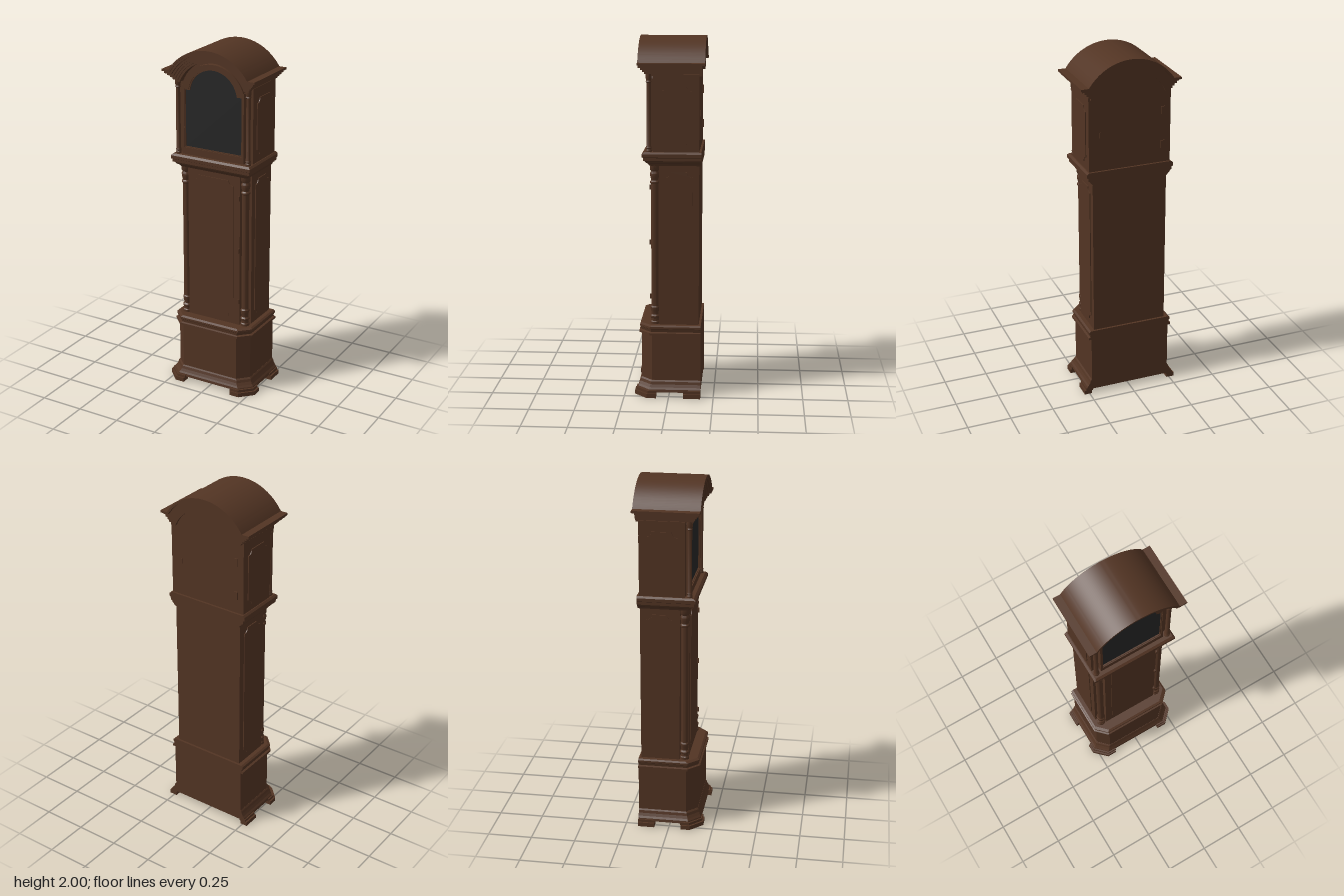
import * as THREE from 'three';
import { toCreasedNormals } from 'three/addons/utils/BufferGeometryUtils.js';

const wood = new THREE.MeshStandardMaterial({ color: 0x523423 });
wood.name = 'dark wood';
const glass = new THREE.MeshStandardMaterial({ color: 0x262626 });
glass.name = 'dark glass';

export function createModel() {
  const root = new THREE.Group();
  root.name = 'longcaseClock';

  function add(name, geometry, x = 0, y = 0, z = 0, material = wood) {
    const mesh = new THREE.Mesh(geometry, material);
    mesh.name = name;
    mesh.position.set(x, y, z);
    root.add(mesh);
    return mesh;
  }
  const box = (name, w, h, d, x, y, z) => add(name, new THREE.BoxGeometry(w, h, d), x, y, z);

  // Extrude a front-facing outline from z0 to z1
  function slab(name, shape, z0, z1, material = wood) {
    const g = new THREE.ExtrudeGeometry(shape, { depth: z1 - z0, bevelEnabled: false, curveSegments: 32 });
    return add(name, toCreasedNormals(g, 0.4), 0, 0, z0, material);
  }

  // Stack of footprints with cut front corners; rows are [y, halfWidth, front, cut]
  function loft(name, rows, back) {
    const rings = rows.map(([y, w, f, c]) => [
      [-w, y, back], [-w, y, f - c], [-w + c, y, f], [w - c, y, f], [w, y, f - c], [w, y, back],
    ]);
    const pos = [];
    const tri = (a, b, c) => pos.push(...a, ...b, ...c);
    for (let r = 0; r + 1 < rings.length; r++) {
      const lo = rings[r], hi = rings[r + 1];
      for (let i = 0; i < 6; i++) {
        const j = (i + 1) % 6;
        tri(lo[i], lo[j], hi[j]);
        tri(lo[i], hi[j], hi[i]);
      }
    }
    const bottom = rings[0], top = rings[rings.length - 1];
    for (let i = 1; i < 5; i++) {
      tri(top[0], top[i], top[i + 1]);
      tri(bottom[0], bottom[i + 1], bottom[i]);
    }
    const g = new THREE.BufferGeometry();
    g.setAttribute('position', new THREE.Float32BufferAttribute(pos, 3));
    g.computeVertexNormals();
    return add(name, g);
  }

  // Raised panel with scooped corners
  function panel(name, w, h, x, y, z, turn = 0) {
    const a = w / 2, b = h / 2, r = 0.03, s = new THREE.Shape();
    s.moveTo(-a + r, -b);
    s.lineTo(a - r, -b);
    s.absarc(a, -b, r, Math.PI, Math.PI / 2, true);
    s.lineTo(a, b - r);
    s.absarc(a, b, r, -Math.PI / 2, -Math.PI, true);
    s.lineTo(-a + r, b);
    s.absarc(-a, b, r, 0, -Math.PI / 2, true);
    s.lineTo(-a, -b + r);
    s.absarc(-a, -b, r, Math.PI / 2, 0, true);
    const g = new THREE.ExtrudeGeometry(s, { depth: 0.006, bevelEnabled: false, curveSegments: 8 });
    add(name, g, x, y, z).rotation.y = turn;
  }

  function column(name, points, x, z) {
    const g = new THREE.LatheGeometry(points.map(([r, y]) => new THREE.Vector2(r, y)), 20);
    add(name, toCreasedNormals(g, 0.6), x, 0, z);
  }

  // Plinth, base case and its cap moulding
  loft('plinth', [[0.03, 0.265, 0.177, 0.065], [0.045, 0.262, 0.175, 0.065], [0.055, 0.254, 0.17, 0.063],
    [0.07, 0.246, 0.164, 0.062], [0.085, 0.242, 0.16, 0.06], [0.093, 0.236, 0.156, 0.06]], -0.178);
  loft('baseCase', [[0.09, 0.235, 0.155, 0.06], [0.365, 0.235, 0.155, 0.06]], -0.178);
  loft('baseMoulding', [[0.358, 0.252, 0.168, 0.063], [0.37, 0.252, 0.168, 0.063], [0.374, 0.24, 0.158, 0.06],
    [0.39, 0.243, 0.16, 0.06], [0.394, 0.248, 0.164, 0.06], [0.405, 0.248, 0.164, 0.06],
    [0.412, 0.238, 0.152, 0.06]], -0.178);

  // Bracket feet
  for (const s of [-1, 1]) {
    const outline = [[0.155, 0.192], [0.21, 0.192], [0.28, 0.122], [0.28, 0.07], [0.235, 0.07], [0.235, 0.105],
      [0.195, 0.145], [0.155, 0.145]].map(([x, z]) => new THREE.Vector2(s * x, -z));
    const g = new THREE.ExtrudeGeometry(new THREE.Shape(outline), { depth: 0.024, bevelEnabled: false });
    g.rotateX(-Math.PI / 2);
    add('frontFoot', g);
    const upper = g.clone().scale(0.965, 0.7, 0.96);
    add('frontFootBlock', upper, 0, 0.022, 0);
    box('backFoot', 0.045, 0.024, 0.095, s * 0.2575, 0.012, -0.1305);
    box('backFootBlock', 0.04, 0.018, 0.095, s * 0.25, 0.03, -0.1305);
  }

  // Trunk with front door and side panels
  box('trunkCase', 0.43, 0.92, 0.22, 0, 0.87, -0.055);
  box('trunkFront', 0.33, 0.92, 0.05, 0, 0.87, 0.075);
  panel('trunkDoorPanel', 0.25, 0.82, 0, 0.865, 0.099);
  for (const s of [-1, 1]) panel('trunkSidePanel', 0.145, 0.82, s * 0.214, 0.865, -0.055, s * Math.PI / 2);
  for (const y of [0.56, 0.87, 1.18]) box('trunkHinge', 0.008, 0.028, 0.014, 0.161, y, 0.104);

  // Turned trunk columns
  for (const s of [-1, 1]) {
    column('trunkColumn', [[0.026, 0.41], [0.026, 0.425], [0.022, 0.43], [0.022, 0.445], [0.026, 0.45],
      [0.026, 0.458], [0.019, 0.466], [0.022, 0.49], [0.025, 0.5], [0.025, 0.508], [0.02, 0.515], [0.02, 1.205],
      [0.025, 1.21], [0.025, 1.218], [0.019, 1.225], [0.024, 1.245], [0.026, 1.262], [0.02, 1.275],
      [0.026, 1.285], [0.027, 1.315]], s * 0.19, 0.08);
  }

  // Moulding between trunk and hood
  loft('waistMoulding', [[1.308, 0.216, 0.108, 0.01], [1.318, 0.22, 0.115, 0.008], [1.326, 0.23, 0.125, 0.004],
    [1.335, 0.234, 0.13, 0.002], [1.338, 0.243, 0.138, 0.002], [1.354, 0.243, 0.138, 0.002],
    [1.358, 0.25, 0.146, 0.002], [1.376, 0.25, 0.146, 0.002], [1.386, 0.24, 0.134, 0.002]], -0.177);

  // Arched hood body
  const cy = 1.713;
  function archShape(w, bottom, shoulder, r, centre) {
    const a = Math.asin((shoulder - centre) / r), s = new THREE.Shape();
    s.moveTo(-w, bottom);
    s.lineTo(w, bottom);
    s.lineTo(w, shoulder);
    s.absarc(0, centre, r, a, Math.PI - a, false);
    s.lineTo(-w, shoulder);
    s.closePath();
    return s;
  }
  slab('hoodCase', archShape(0.235, 1.38, 1.805, 0.23, cy), -0.165, 0.085);

  // Hood door, its inner bead and the dial glass
  const door = archShape(0.192, 1.386, 1.78, 0.2, cy);
  door.holes.push(archShape(0.18, 1.425, 1.758, 0.153, 1.733));
  slab('hoodDoor', door, 0.08, 0.112);
  const bead = archShape(0.182, 1.423, 1.76, 0.155, 1.733);
  bead.holes.push(archShape(0.175, 1.43, 1.753, 0.147, 1.733));
  slab('doorBead', bead, 0.08, 0.107);
  slab('dialGlass', archShape(0.178, 1.427, 1.756, 0.15, 1.733), 0.094, 0.1, glass);

  // Stepped arched cornice, each band set inside the one above
  function corniceBand(d, thick) {
    const s = new THREE.Shape(), w = 0.284 - d;
    const edge = (o) => {
      const r = 0.287 - o, y = 1.868 - o;
      return [r, y, Math.asin((y - cy) / r)];
    };
    const [r0, y0, a0] = edge(d), [r1, y1, a1] = edge(d + thick);
    s.moveTo(w, y1);
    s.lineTo(w, y0);
    s.absarc(0, cy, r0, a0, Math.PI - a0, false);
    s.lineTo(-w, y0);
    s.lineTo(-w, y1);
    s.absarc(0, cy, r1, Math.PI - a1, a1, true);
    s.closePath();
    return s;
  }
  slab('roof', corniceBand(0, 0.012), -0.195, 0.168);
  [[0.01, 0.162], [0.022, 0.15], [0.034, 0.14], [0.046, 0.133], [0.058, 0.126]].forEach(([d, front]) =>
    slab('corniceBand', corniceBand(d, 0.014), -0.18, front));

  // Hood columns, side panels
  for (const s of [-1, 1]) {
    column('hoodColumn', [[0.016, 1.38], [0.016, 1.395], [0.013, 1.4], [0.016, 1.408], [0.013, 1.415],
      [0.012, 1.76], [0.016, 1.765], [0.013, 1.772], [0.016, 1.785], [0.016, 1.81]], s * 0.219, 0.109);
    panel('hoodSidePanel', 0.17, 0.32, s * 0.234, 1.587, -0.04, s * Math.PI / 2);
  }

  // Back hinges and catch
  for (const y of [1.49, 1.685]) box('backHinge', 0.02, 0.045, 0.008, -0.19, y, -0.168);
  box('backCatch', 0.008, 0.03, 0.006, 0.17, 1.59, -0.167);

  return root;
}
